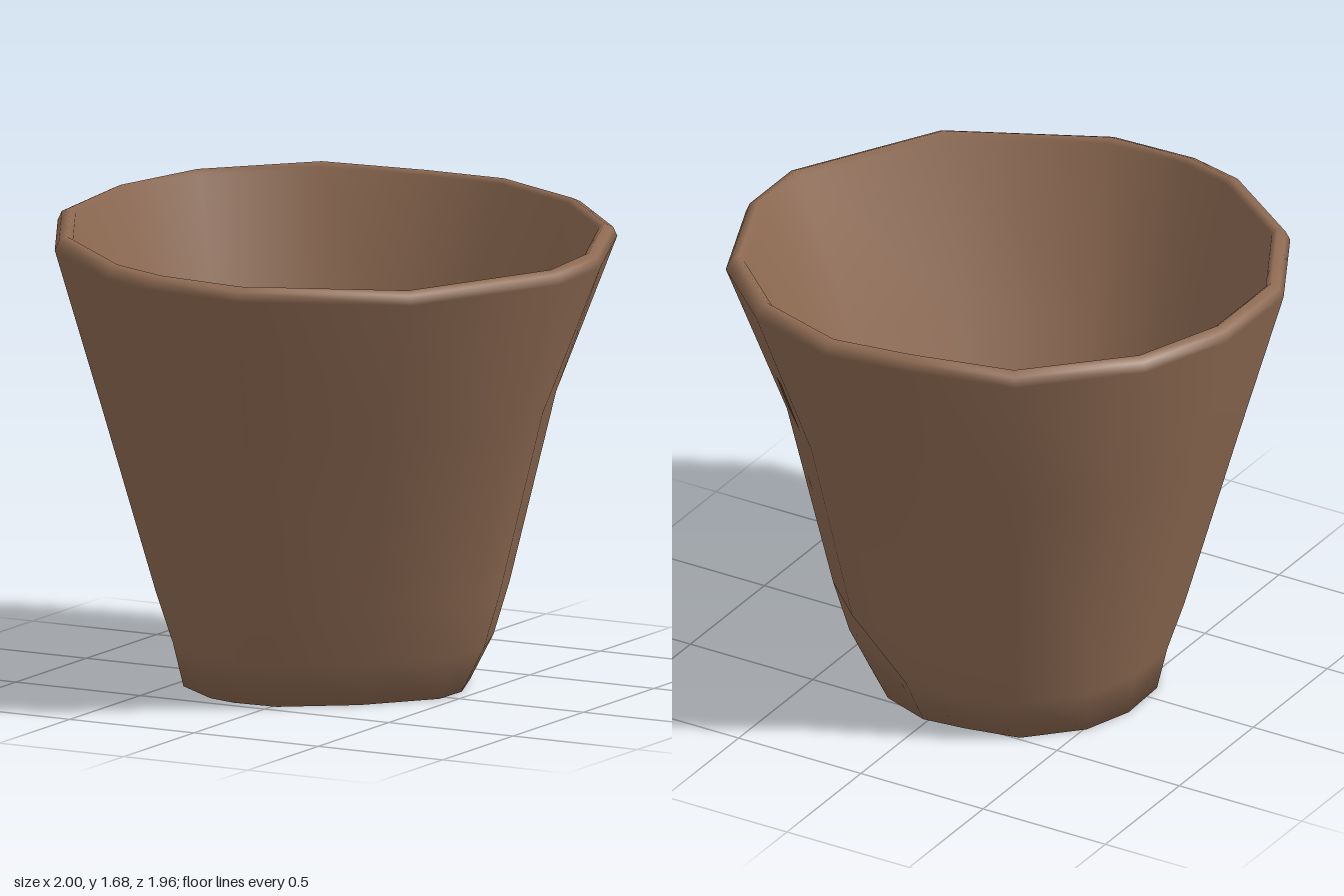
import * as THREE from 'three';

// Irregular rim outline as [x, z], running from back to right to front
const RIM = [
  [0.155, -0.985], [0.52, -0.85], [0.81, -0.575], [0.99, -0.14], [1.0, 0.16],
  [0.71, 0.71], [0.155, 0.976], [-0.18, 0.976], [-0.4, 0.91], [-0.77, 0.63],
  [-0.985, 0.23], [-1.0, -0.17], [-0.88, -0.53], [-0.55, -0.87], [-0.155, -0.95],
];
const N = RIM.length;

// Cross-sections: y, scale, centre x, centre z, amount of rim tilt
const OUTER = [
  [0, 0.51, -0.06, -0.045, 0],
  [0.16, 0.57, -0.035, -0.045, 0],
  [0.35, 0.63, -0.035, -0.04, 0],
  [1.03, 0.81, -0.03, 0, 0.3],
  [1.585, 1, 0, 0, 1],
];
const LIP = [
  [1.618, 0.985, 0, 0, 1],
  [1.632, 0.955, 0, 0, 1],
  [1.615, 0.935, 0, 0, 1],
];
const INNER = [
  [1.03, 0.75, -0.03, 0, 0.3],
  [0.4, 0.57, -0.035, -0.04, 0],
  [0.18, 0.46, -0.04, -0.04, 0],
  [0.1, 0.28, -0.05, -0.04, 0],
];

// A point on a cross-section; the front right corner is squashed towards the foot
function ringPoint([y, s, cx, cz, tilt], i) {
  const [x, z] = RIM[i % N];
  const da = Math.atan2(z, x) - Math.PI / 4;
  const squash = 1 - 0.13 * Math.exp(-((da / 0.45) ** 2)) * Math.max(0, 1 - y / 1.5);
  const k = s * squash;
  return new THREE.Vector3(cx + x * k, y - tilt * (0.027 * x + 0.035 * z), cz + z * k);
}

// Smooth closed shell: underside, outer wall, lip, inner wall and floor
function shellGeometry() {
  const rings = [...OUTER, ...LIP, ...INNER];
  const pos = [], index = [];
  rings.forEach((ring, r) => {
    for (let i = 0; i < N; i++) {
      const p = ringPoint(ring, i);
      if (r === 1 && i === 1) { p.x *= 0.88; p.z *= 0.88; } // dent near the foot
      pos.push(p.x, p.y, p.z);
    }
  });
  const under = rings.length * N, floor = under + 1;
  pos.push(-0.06, 0.01, -0.045, -0.05, 0.09, -0.04);
  const last = (rings.length - 1) * N;
  for (let i = 0; i < N; i++) {
    const j = (i + 1) % N;
    index.push(under, i, j, last + i, floor, last + j);
    for (let r = 0; r < rings.length - 1; r++) {
      const a = r * N, b = a + N;
      index.push(a + i, b + i, b + j, a + i, b + j, a + j);
    }
  }
  const geo = new THREE.BufferGeometry();
  geo.setAttribute('position', new THREE.Float32BufferAttribute(pos, 3));
  geo.setIndex(index);
  geo.computeVertexNormals();
  return geo;
}

// Small four-cornered chip lying on the wall between two cross-sections
function chipGeometry(low, high, offset) {
  const corners = [[0, 1.32], [0.2, 1.31], [0.35, 1.17], [0.12, 1.09]];
  const pts = corners.map(([t, y]) => {
    const a = ringPoint(low, 1).lerp(ringPoint(low, 2), t);
    const b = ringPoint(high, 1).lerp(ringPoint(high, 2), t);
    const p = a.clone().lerp(b, (y - a.y) / (b.y - a.y));
    const r = Math.hypot(p.x, p.z);
    p.x *= 1 + offset / r;
    p.z *= 1 + offset / r;
    return p;
  });
  const geo = new THREE.BufferGeometry().setFromPoints(pts);
  geo.setIndex([0, 1, 2, 0, 2, 3]);
  geo.computeVertexNormals();
  return geo;
}

export function createModel() {
  const clay = new THREE.MeshStandardMaterial({ color: 0x8f6b53 });
  clay.name = 'clay brown';
  const dark = new THREE.MeshStandardMaterial({ color: 0x5c4434, side: THREE.DoubleSide });
  dark.name = 'dark brown';

  const group = new THREE.Group();
  group.name = 'cup';
  const add = (name, geo, mat) => {
    const mesh = new THREE.Mesh(geo, mat);
    mesh.name = name;
    group.add(mesh);
  };
  add('cupBody', shellGeometry(), clay);
  add('outerChip', chipGeometry(OUTER[3], OUTER[4], 0.009), dark);
  add('innerChip', chipGeometry(INNER[0], LIP[2], -0.009), dark);
  return group;
}
